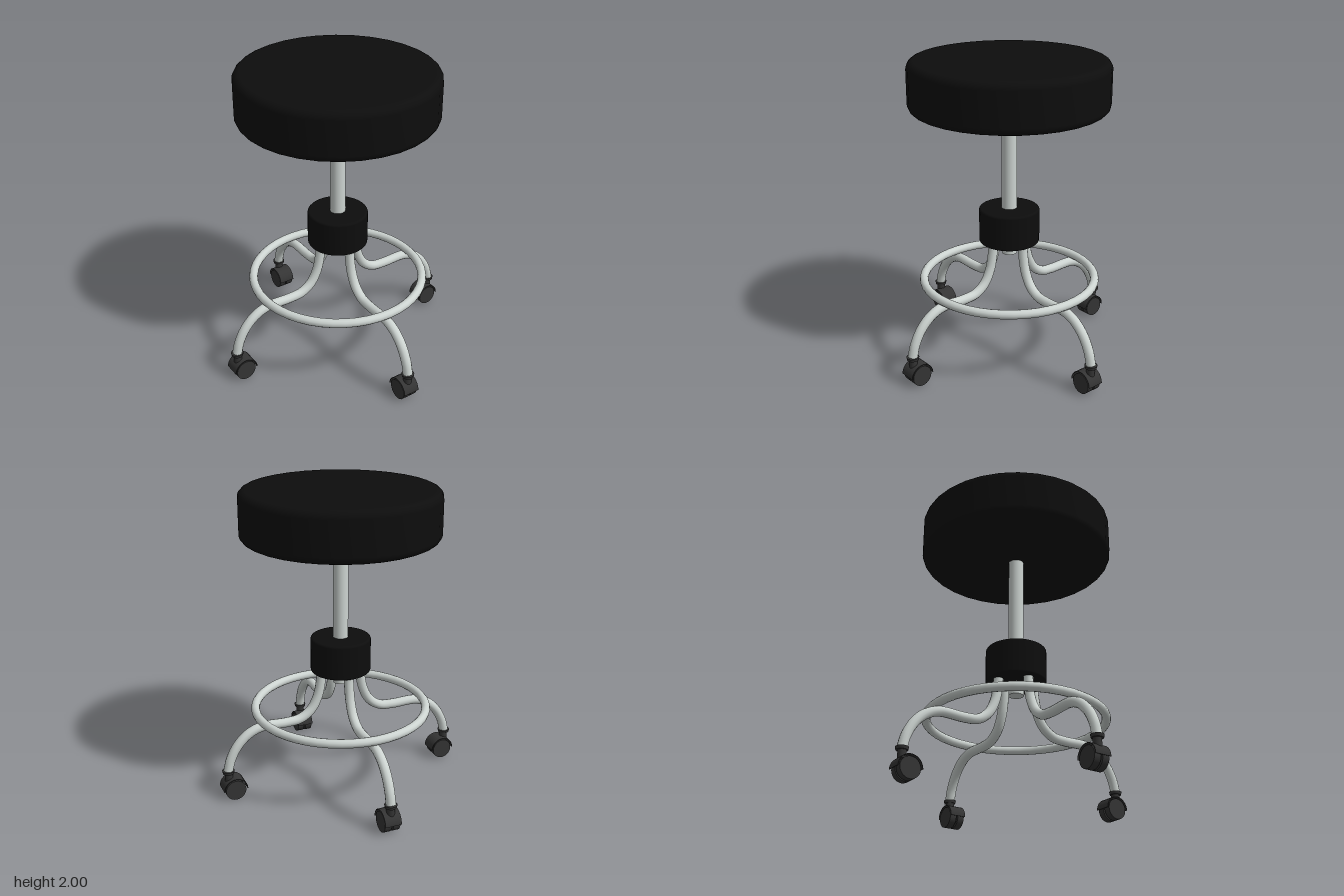
import * as THREE from 'three';

const material = (name, color, side = THREE.FrontSide) => {
  const m = new THREE.MeshStandardMaterial({ color, side });
  m.name = name;
  return m;
};

export function createModel() {
  const model = new THREE.Group();
  model.name = 'swivelStool';
  const black = material('black upholstery', 0x0d0d0d);
  const metal = material('pale metal', 0xcdd4d1);
  const rubber = material('dark grey plastic', 0x343434, THREE.DoubleSide);

  const add = (parent, name, geometry, mat, x = 0, y = 0, z = 0) => {
    const mesh = new THREE.Mesh(geometry, mat);
    mesh.name = name;
    mesh.position.set(x, y, z);
    parent.add(mesh);
    return mesh;
  };

  // Solid disc with rounded rims, standing from y0 to y1
  const roundedDisc = (radius, y0, y1, bevel, sides) => {
    const pts = [new THREE.Vector2(0, y0)];
    const corner = (cy, start) => {
      for (let i = 0; i <= 5; i++) {
        const a = start + (i / 5) * Math.PI / 2;
        pts.push(new THREE.Vector2(radius - bevel + bevel * Math.cos(a), cy + bevel * Math.sin(a)));
      }
    };
    corner(y0 + bevel, -Math.PI / 2);
    corner(y1 - bevel, 0);
    pts.push(new THREE.Vector2(0, y1));
    return new THREE.LatheGeometry(pts, sides);
  };

  // Seat, column and hub
  add(model, 'seat', roundedDisc(0.64, 1.68, 2, 0.05, 32), black);
  add(model, 'column', new THREE.CylinderGeometry(0.05, 0.05, 1.0, 24), metal, 0, 1.2, 0);
  add(model, 'hub', roundedDisc(0.198, 0.785, 1.02, 0.015, 32), black);

  // Foot ring resting on the legs
  const ring = add(model, 'footRing', new THREE.TorusGeometry(0.57, 0.029, 12, 48), metal, 0, 0.527, 0);
  ring.rotation.x = Math.PI / 2;

  // S-shaped leg centre line
  const path = new THREE.CatmullRomCurve3([
    [0.135, 0.82], [0.14, 0.74], [0.165, 0.62], [0.215, 0.53], [0.29, 0.48], [0.38, 0.47], [0.56, 0.47],
    [0.65, 0.435], [0.725, 0.365], [0.775, 0.275], [0.796, 0.195],
  ].map(([x, y]) => new THREE.Vector3(x, y, 0)));
  const legGeo = new THREE.TubeGeometry(path, 48, 0.032, 12);

  // Caster geometries
  const wheelGeo = new THREE.CylinderGeometry(0.068, 0.068, 0.046, 28).rotateX(Math.PI / 2);
  const coreGeo = new THREE.CylinderGeometry(0.052, 0.052, 0.02, 20).rotateX(Math.PI / 2);
  const fenderShape = new THREE.Shape();
  fenderShape.absarc(0, 0, 0.081, 0, Math.PI, false);
  fenderShape.absarc(0, 0, 0.077, Math.PI, 0, true);
  const fenderGeo = new THREE.ExtrudeGeometry(fenderShape, { depth: 0.11, bevelEnabled: false, curveSegments: 16 });
  fenderGeo.translate(0, 0, -0.055);
  const stemGeo = new THREE.CylinderGeometry(0.027, 0.027, 0.06, 16);
  const collarGeo = new THREE.CylinderGeometry(0.041, 0.037, 0.02, 20);

  // Four legs with twin-wheel casters
  const base = new THREE.Group();
  base.name = 'legBase';
  base.rotation.y = -0.012;
  model.add(base);
  for (let i = 0; i < 4; i++) {
    const arm = new THREE.Group();
    arm.name = 'legWithCaster';
    arm.rotation.y = i * Math.PI / 2;
    base.add(arm);
    add(arm, 'leg', legGeo, metal);
    add(arm, 'casterCollar', collarGeo, rubber, 0.796, 0.188, 0);
    add(arm, 'casterStem', stemGeo, rubber, 0.794, 0.155, 0);
    add(arm, 'casterFender', fenderGeo, rubber, 0.762, 0.069, 0);
    add(arm, 'wheelCore', coreGeo, rubber, 0.762, 0.068, 0);
    for (const s of [-1, 1]) add(arm, 'wheel', wheelGeo, rubber, 0.762, 0.068, s * 0.029);
  }
  return model;
}
